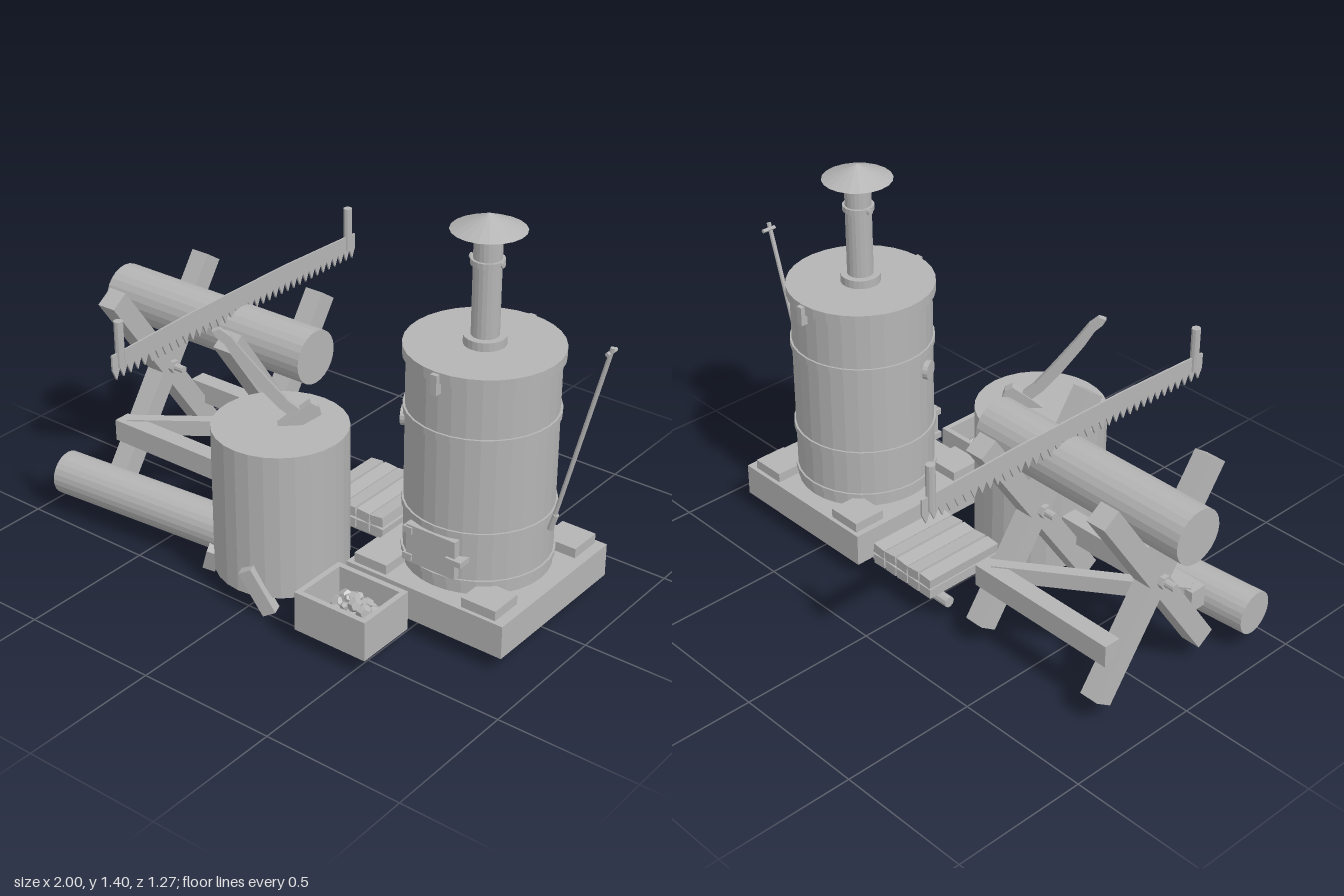
import * as THREE from 'three';

const gray = new THREE.MeshStandardMaterial({ color: 0xb4b4b4, flatShading: true });
gray.name = 'plain gray';

const V = (x, y, z) => new THREE.Vector3(x, y, z);

export function createModel() {
  const root = new THREE.Group();
  root.name = 'woodYard';

  const group = (name) => {
    const g = new THREE.Group();
    g.name = name;
    root.add(g);
    return g;
  };
  const mesh = (parent, name, geo, x = 0, y = 0, z = 0) => {
    const m = new THREE.Mesh(geo, gray);
    m.name = name;
    m.position.set(x, y, z);
    parent.add(m);
    return m;
  };
  // Box given by its limits on each axis
  const box = (p, name, x0, x1, y0, y1, z0, z1) =>
    mesh(p, name, new THREE.BoxGeometry(x1 - x0, y1 - y0, z1 - z0), (x0 + x1) / 2, (y0 + y1) / 2, (z0 + z1) / 2);
  // Upright cylinder from y0 to y1
  const drum = (p, name, r, y0, y1, x, z, sides = 32) =>
    mesh(p, name, new THREE.CylinderGeometry(r, r, y1 - y0, sides), x, (y0 + y1) / 2, z);
  // Round bar between two points
  const bar = (p, name, a, b, r, sides = 10) => {
    const d = b.clone().sub(a);
    const m = mesh(p, name, new THREE.CylinderGeometry(r, r, d.length(), sides));
    m.position.copy(a).add(b).multiplyScalar(0.5);
    m.quaternion.setFromUnitVectors(V(0, 1, 0), d.normalize());
    return m;
  };

  // Stove base with four corner blocks
  const cx = 0.569;
  const base = group('stoveBase');
  box(base, 'slab', 0.26, 0.877, 0.07, 0.19, -0.31, 0.307);
  for (const x of [0.348, 0.775]) for (const z of [-0.233, 0.231])
    box(base, 'cornerBlock', x - 0.065, x + 0.065, 0.19, 0.225, z - 0.062, z + 0.062);

  // Barrel stove
  const stove = group('barrelStove');
  drum(stove, 'barrel', 0.248, 0.19, 0.96, cx, 0);
  drum(stove, 'bottomRim', 0.255, 0.225, 0.242, cx, 0);
  for (const y of [0.405, 0.742]) drum(stove, 'band', 0.255, y - 0.012, y + 0.012, cx, 0);
  drum(stove, 'lid', 0.26, 0.93, 0.967, cx, 0);
  for (const s of [-1, 1])
    box(stove, 'lidClip', cx - 0.012, cx + 0.012, 0.893, 0.962, s * 0.262 - 0.013, s * 0.262 + 0.013);
  bar(stove, 'gauge', V(cx - 0.23, 0.67, 0.09), V(cx - 0.247, 0.67, 0.098), 0.035, 16);

  // Fire door with hinges and latch
  box(stove, 'door', 0.465, 0.655, 0.25, 0.388, 0.215, 0.258);
  for (const y of [0.27, 0.37]) box(stove, 'hinge', 0.455, 0.49, y - 0.012, y + 0.012, 0.22, 0.265);
  box(stove, 'latch', 0.625, 0.685, 0.308, 0.328, 0.21, 0.268);

  // Chimney
  const chimney = group('chimney');
  drum(chimney, 'collar', 0.07, 0.965, 0.997, cx, 0, 24);
  drum(chimney, 'pipe', 0.046, 0.99, 1.35, cx, 0, 20);
  drum(chimney, 'pipeRing', 0.055, 1.238, 1.257, cx, 0, 20);
  for (let i = 0; i < 4; i++) {
    const a = i * Math.PI / 2;
    drum(chimney, 'capStrut', 0.006, 1.325, 1.365, cx + 0.056 * Math.cos(a), 0.056 * Math.sin(a), 6);
  }
  mesh(chimney, 'cap', new THREE.ConeGeometry(0.122, 0.053, 20), cx, 1.379, 0);
  bar(chimney, 'damper', V(cx - 0.065, 1.247, 0), V(cx + 0.06, 1.247, 0), 0.01, 8);

  // Poker leaning on the barrel
  const poker = group('poker');
  bar(poker, 'rod', V(0.82, 0.36, -0.038), V(0.99, 1.053, -0.064), 0.008, 8);
  bar(poker, 'crossHandle', V(0.982, 1.033, -0.045), V(0.982, 1.033, -0.098), 0.007, 8);
  bar(poker, 'hook', V(0.82, 0.36, -0.038), V(0.838, 0.42, -0.04), 0.011, 8);

  // Coal box
  const coalBox = group('coalBox');
  const [bx0, bx1, bz0, bz1] = [0.265, 0.548, 0.355, 0.582];
  box(coalBox, 'floor', bx0, bx1, 0.07, 0.09, bz0, bz1);
  for (const [a, b] of [[bz0, bz0 + 0.02], [bz1 - 0.02, bz1]]) box(coalBox, 'longWall', bx0, bx1, 0.07, 0.213, a, b);
  for (const [a, b] of [[bx0, bx0 + 0.02], [bx1 - 0.02, bx1]]) box(coalBox, 'endWall', a, b, 0.07, 0.213, bz0, bz1);
  for (let i = 0; i < 24; i++) {
    const a = i * 2.4, r = Math.sqrt(i / 24);
    const lump = mesh(coalBox, 'coalLump', new THREE.DodecahedronGeometry(0.022 + 0.006 * Math.sin(i * 5)),
      0.408 + 0.088 * r * Math.cos(a), 0.185 - 0.08 * r * r, 0.455 + 0.07 * r * Math.sin(a));
    lump.rotation.set(i, i * 2, i * 3);
  }

  // Chopping block
  drum(root, 'choppingBlock', 0.23, 0.07, 0.6, -0.027, 0.293, 28);

  // Axe stuck in the block, drawn in its own upright plane
  const axe = group('axe');
  axe.position.set(-0.172, 0, 0.432);
  axe.rotation.y = Math.atan2(0.69, 0.72);
  const slab = (name, pts, depth) => {
    const g = new THREE.ExtrudeGeometry(new THREE.Shape(pts.map(p => new THREE.Vector2(...p))), { depth, bevelEnabled: false });
    g.translate(0, 0, -depth / 2);
    return mesh(axe, name, g);
  };
  slab('handle', [[-0.012, 0.95], [0.0, 0.928], [0.025, 0.905], [0.06, 0.845], [0.13, 0.745], [0.195, 0.665],
    [0.24, 0.625], [0.275, 0.645], [0.225, 0.69], [0.165, 0.765], [0.09, 0.865], [0.045, 0.93], [0.012, 0.958]], 0.022);
  slab('head', [[0.185, 0.595], [0.265, 0.595], [0.335, 0.635], [0.325, 0.665], [0.3, 0.68], [0.265, 0.655], [0.23, 0.63]], 0.034);

  // Sawhorse: two crossed frames, bolts, rails and a diagonal brace
  const horse = group('sawhorse');
  for (const x of [-0.823, -0.292]) {
    for (const s of [-1, 1]) {
      const leg = mesh(horse, 'leg', new THREE.BoxGeometry(0.074, 0.862, 0.075), x, 0.445, 0);
      leg.rotation.x = s * 0.602;
    }
    bar(horse, 'bolt', V(x - 0.098, 0.457, 0), V(x + 0.098, 0.457, 0), 0.014);
    for (const s of [-1, 1])
      bar(horse, 'nut', V(x + s * 0.042, 0.457, 0), V(x + s * 0.06, 0.457, 0), 0.025, 6);
  }
  for (const s of [-1, 1]) box(horse, 'rail', -0.85, -0.258, 0.23, 0.31, s * 0.203 - 0.032, s * 0.203 + 0.032);
  const brace = mesh(horse, 'brace', new THREE.BoxGeometry(0.66, 0.06, 0.04), -0.557, 0.285, 0.005);
  brace.rotation.y = Math.atan2(0.38, 0.52);

  // Logs
  bar(root, 'sawLog', V(-1, 0.697, -0.004), V(-0.117, 0.697, -0.004), 0.097, 24);
  bar(root, 'groundLog', V(-0.928, 0.148, 0.408), V(-0.212, 0.148, 0.353), 0.078, 24);

  // Two-handed saw with a toothed edge
  const saw = group('twoHandedSaw');
  const outline = new THREE.Shape();
  const teeth = 38, half = 0.634;
  outline.moveTo(half, 0.852);
  outline.lineTo(0.25, 0.864);
  outline.lineTo(-0.25, 0.864);
  outline.lineTo(-half, 0.852);
  for (let i = 0; i < teeth; i++) {
    const z = -half + 2 * half * i / teeth, step = 2 * half / teeth;
    outline.lineTo(z, 0.798);
    outline.lineTo(z + step / 2, 0.76);
  }
  outline.lineTo(half, 0.798);
  const blade = new THREE.ExtrudeGeometry(outline, { depth: 0.007, bevelEnabled: false });
  blade.translate(0, 0, -0.0035).rotateY(-Math.PI / 2);
  mesh(saw, 'blade', blade, -0.444);
  for (const z of [-0.595, 0.595]) drum(saw, 'grip', 0.016, 0.8, 0.963, -0.444, z, 10);

  // Split wood stacked on two round runners
  const stack = group('woodStack');
  for (const z of [-0.24, -0.03]) bar(stack, 'runner', V(-0.135, 0.09, z), V(0.24, 0.09, z), 0.02);
  for (let row = 0; row < 2; row++) for (let i = 0; i < 5; i++) {
    const x = -0.096 + i * 0.059, y = 0.11 + row * 0.042;
    const plank = box(stack, 'splitPiece', x, x + 0.053, y, y + 0.036, -0.293, 0.023);
    plank.rotation.z = 0.1 * Math.sin(i * 3 + row * 2);
  }

  // Loose chunks leaning around the block
  const chunks = group('looseChunks');
  for (const [x, y, z, w, h, d, rx, ry, rz] of [
    [0.055, 0.098, 0.512, 0.05, 0.175, 0.04, 0.05, 0.35, 0.47],
    [0.215, 0.095, 0.345, 0.045, 0.16, 0.07, 0.1, 0.25, -0.8],
    [-0.222, 0.078, 0.428, 0.045, 0.09, 0.05, 0.3, 0.4, -0.4],
  ]) {
    mesh(chunks, 'chunk', new THREE.BoxGeometry(w, h, d), x, y, z).rotation.set(rx, ry, rz);
  }

  return root;
}
